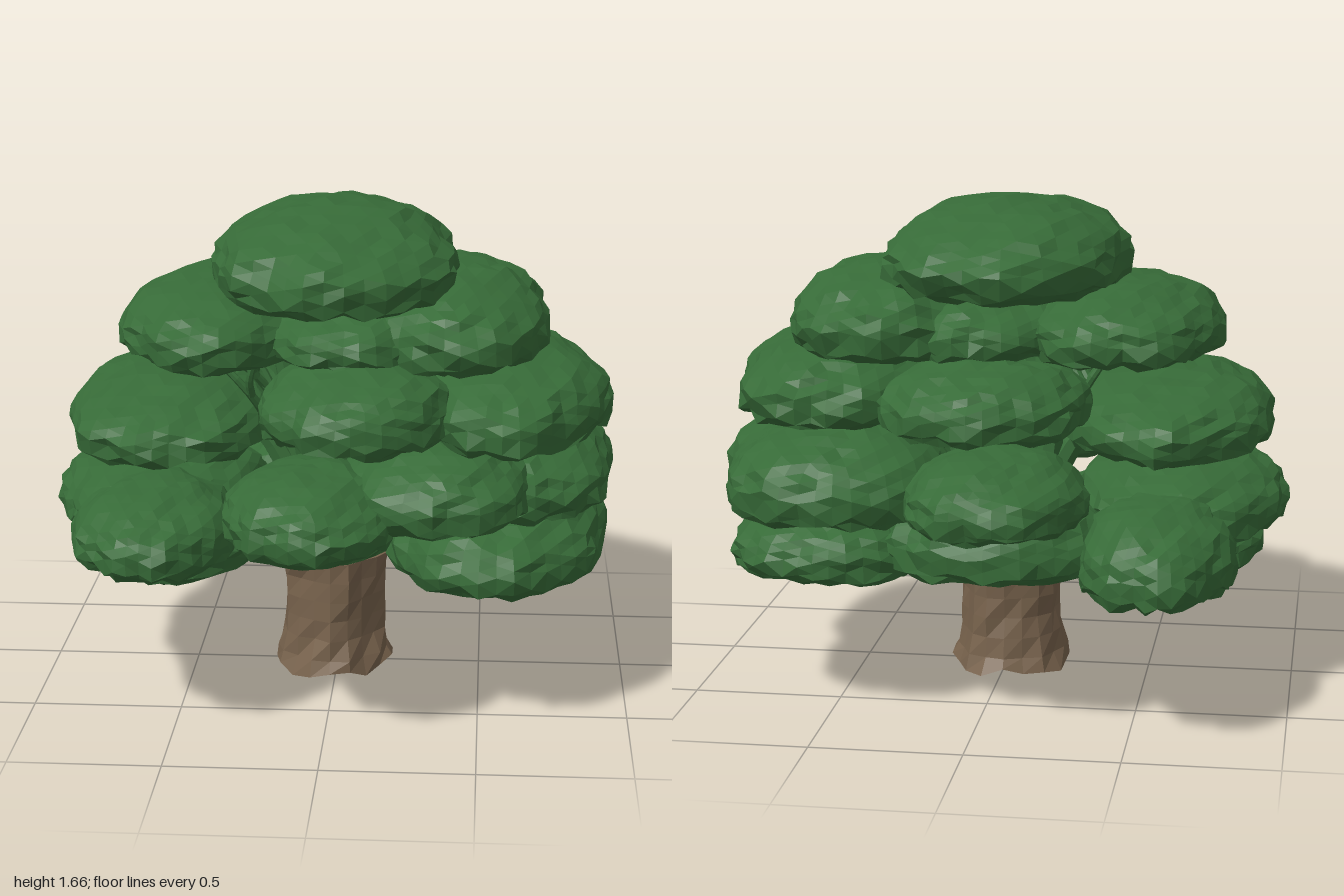
import * as THREE from 'three';
import { mergeVertices } from 'three/addons/utils/BufferGeometryUtils.js';

const leaf = new THREE.MeshStandardMaterial({ color: 0x376b38, flatShading: true });
const bark = new THREE.MeshStandardMaterial({ color: 0x77624c, flatShading: true });

// Repeatable pseudo-random number in -1..1 for a vertex index and seed
const hash = (i, seed) => {
  const s = Math.sin(i * 12.9898 + seed * 78.233) * 43758.5453;
  return (s - Math.floor(s)) * 2 - 1;
};

// Share vertices so that moving them never tears the surface
function weld(g) {
  g.deleteAttribute('uv');
  g.deleteAttribute('normal');
  return mergeVertices(g, 1e-4);
}

function part(name, g, material) {
  g.computeVertexNormals();
  const m = new THREE.Mesh(g, material);
  m.name = name;
  return m;
}

// Lumpy umbrella of foliage: domed top, rounded rim, hollowed ragged underside
function foliagePad(name, seed, [x0, x1], [y0, y1], [z0, z1]) {
  const g = weld(new THREE.IcosahedronGeometry(1, 6));
  const rx = (x1 - x0) / 2, rz = (z1 - z0) / 2;
  const down = (y1 - y0) * 0.38, up = (y1 - y0) * 0.62;
  const p = g.attributes.position;
  const v = new THREE.Vector3();
  for (let i = 0; i < p.count; i++) {
    v.fromBufferAttribute(p, i);
    const k = 0.99 + 0.035 * Math.sin(4 * v.x + seed) * Math.sin(5 * v.z + 2 * seed)
      + 0.02 * Math.sin(9 * v.x + 7 * v.z + seed * 3) + 0.03 * hash(i, seed);
    const rho = Math.hypot(v.x, v.z);
    const y = v.y > 0
      ? up * v.y * k
      : down * (-Math.pow(-v.y, 0.6) * (0.2 + 1.05 * rho * rho) + 0.14 * hash(i + 500, seed));
    p.setXYZ(i, v.x * k * rx, y, v.z * k * rz);
  }
  const m = part(name, g, leaf);
  m.position.set((x0 + x1) / 2, y0 + down, (z0 + z1) / 2);
  return m;
}

// Tapered limb swept along a curve
function limb(name, points, r0, r1) {
  const curve = new THREE.CatmullRomCurve3(points.map(a => new THREE.Vector3(...a)));
  const n = 8, sides = 7;
  const g = new THREE.TubeGeometry(curve, n, 1, sides);
  const p = g.attributes.position;
  const v = new THREE.Vector3();
  for (let i = 0; i < p.count; i++) {
    const t = Math.floor(i / (sides + 1)) / n;
    const c = curve.getPointAt(t);
    v.fromBufferAttribute(p, i).sub(c).multiplyScalar(r0 + (r1 - r0) * t).add(c);
    p.setXYZ(i, v.x, v.y, v.z);
  }
  return part(name, g, leaf);
}

// Ring-by-ring trunk section: radius follows a rule of height, with fluted, uneven bark
function trunkSection(name, y0, y1, material) {
  const g = weld(new THREE.CylinderGeometry(1, 1, y1 - y0, 18, 6));
  const p = g.attributes.position;
  for (let i = 0; i < p.count; i++) {
    const y = p.getY(i) + (y0 + y1) / 2;
    const a = Math.atan2(p.getZ(i), p.getX(i));
    const rim = Math.hypot(p.getX(i), p.getZ(i));
    const flare = 0.035 * Math.pow(Math.max(0, 1 - y / 0.25), 2) + 0.45 * Math.pow(Math.max(0, y - 0.27), 2);
    const r = rim * (0.172 + flare + 0.008 * Math.sin(5 * a + 1) + 0.01 * hash(i, 3));
    const ragged = y < 0.01 ? (rim < 0.5 ? 0.03 : 0.02 + 0.02 * hash(i, 9)) : 0;
    p.setXYZ(i, r * Math.cos(a) - 0.015, y + ragged, r * Math.sin(a) * 1.15);
  }
  return part(name, g, material);
}

export function createModel() {
  const tree = new THREE.Group();
  tree.name = 'tree';
  tree.add(trunkSection('trunk', 0, 0.42, bark), trunkSection('trunkCrown', 0.42, 0.6, leaf));

  // Foliage pads from top to bottom: name, then x, y and z extents
  const pads = [
    ['crownPad', [-0.43, 0.42], [1.33, 1.655], [-0.67, 0.65]],
    ['upperRightPad', [-0.75, -0.06], [1.13, 1.4], [-0.64, 0.54]],
    ['upperLeftPad', [0.02, 0.73], [1.13, 1.45], [-0.63, 0.56]],
    ['upperMiddlePad', [-0.3, 0.4], [1.14, 1.38], [-0.58, 0.55]],
    ['middleRightPad', [-0.93, -0.2], [0.83, 1.09], [-0.66, 0.64]],
    ['middleFrontPad', [-0.24, 0.42], [0.94, 1.21], [0, 0.84]],
    ['middleBackPad', [-0.34, 0.36], [0.92, 1.19], [-0.87, 0]],
    ['middleLeftPad', [0.2, 0.93], [0.9, 1.2], [-0.64, 0.69]],
    ['lowerFrontPad', [-0.34, 0.24], [0.63, 0.89], [0.2, 1]],
    ['lowerBackPad', [-0.35, 0.26], [0.64, 0.9], [-1, -0.2]],
    ['lowerFrontLeftPad', [0.02, 0.68], [0.68, 0.96], [0.05, 0.84]],
    ['lowerBackLeftPad', [0.12, 0.89], [0.62, 0.95], [-0.83, 0]],
    ['lowerLeftPad', [0.3, 0.96], [0.63, 0.94], [-0.58, 0.56]],
    ['bottomFrontRightPad', [-0.85, -0.3], [0.54, 0.8], [0.05, 0.9]],
    ['bottomRightPad', [-0.97, -0.25], [0.54, 0.81], [-0.6, 0.6]],
    ['bottomBackRightPad', [-0.83, -0.3], [0.43, 0.75], [-0.98, -0.1]],
    ['underRightPad', [-0.9, -0.2], [0.42, 0.66], [-0.6, 0.6]],
    ['bottomBackPad', [-0.42, 0.35], [0.46, 0.76], [-0.82, -0.16]],
    ['bottomLeftPad', [0.17, 0.94], [0.43, 0.74], [-0.5, 0.73]],
    ['bottomBackLeftPad', [0.17, 0.88], [0.43, 0.7], [-0.79, 0]],
  ];
  const foliage = new THREE.Group();
  foliage.name = 'foliage';
  pads.forEach(([name, ...extents], i) => foliage.add(foliagePad(name, i + 1, ...extents)));
  tree.add(foliage);

  // Limbs fan out from the trunk crown into each pad
  const limbs = new THREE.Group();
  limbs.name = 'limbs';
  for (const [name, ...extents] of pads) {
    const [x, y, z] = extents.map(([a, b]) => (a + b) / 2);
    const d = Math.hypot(x, z);
    const sx = (x / d) * 0.1, sz = (z / d) * 0.1;
    limbs.add(limb(name.replace('Pad', 'Limb'),
      [[sx, 0.42, sz], [sx * 1.5, 0.46 + (y - 0.46) * 0.4, sz * 1.5], [x * 0.6, y - 0.04, z * 0.6], [x, y, z]],
      0.06, 0.02));
  }
  // Thin forking twigs in the open gap below the upper right pad
  for (let i = 0; i < 6; i++) {
    const z = -0.35 + i * 0.14, fork = [-0.27 + 0.04 * hash(i, 2), 1.06, z];
    limbs.add(limb('twig', [[-0.18, 0.85, z * 0.5], fork, [-0.4, 1.2, z]], 0.022, 0.01));
    limbs.add(limb('twigFork', [fork, [-0.27, 1.12, z + 0.03], [-0.24, 1.22, z + 0.05]], 0.015, 0.01));
  }
  tree.add(limbs);
  return tree;
}
